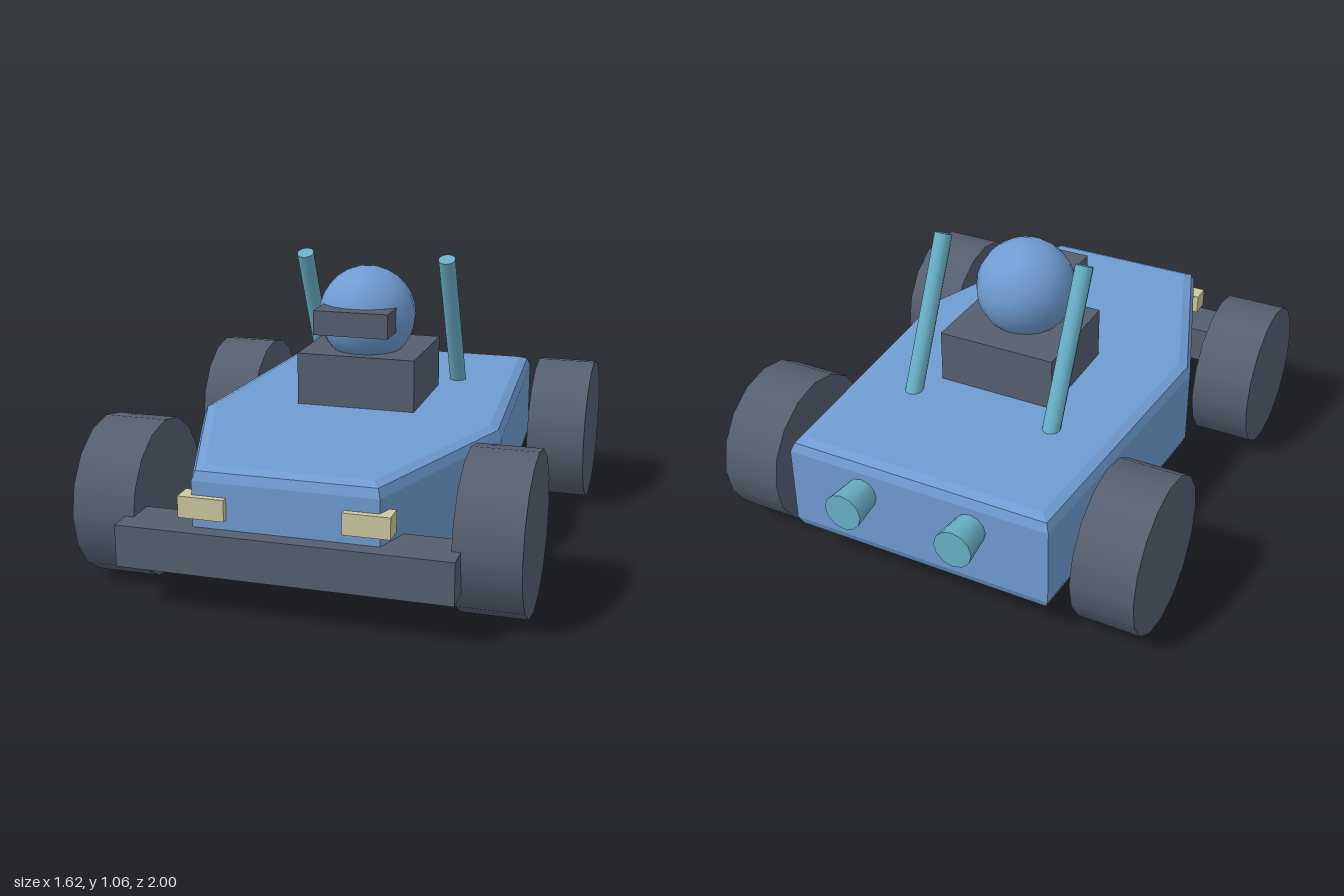
import * as THREE from 'three';

const material = (name, color) => {
  const m = new THREE.MeshStandardMaterial({ color });
  m.name = name;
  return m;
};

export function createModel() {
  const blue = material('body blue', 0x6f9cd2);
  const dark = material('dark grey', 0x565f70);
  const teal = material('pipe teal', 0x68b0c6);
  const cream = material('lamp cream', 0xcec8a0);

  const car = new THREE.Group();
  car.name = 'buggy';

  const add = (name, geometry, mat, x, y, z) => {
    const mesh = new THREE.Mesh(geometry, mat);
    mesh.name = name;
    mesh.position.set(x, y, z);
    car.add(mesh);
    return mesh;
  };

  // Box given by its lower and upper limits
  const box = (name, mat, [x0, x1], [y0, y1], [z0, z1]) =>
    add(name, new THREE.BoxGeometry(x1 - x0, y1 - y0, z1 - z0), mat,
      (x0 + x1) / 2, (y0 + y1) / 2, (z0 + z1) / 2);

  // Hull: six-sided plan, bevelled at top and bottom
  const outline = [
    [-0.505, -0.88], [0.505, -0.88], [0.575, 0.22],
    [0.32, 0.942], [-0.32, 0.942], [-0.575, 0.22],
  ].map(([x, z]) => new THREE.Vector2(x, z));
  const bevel = 0.045;
  const hull = new THREE.ExtrudeGeometry(new THREE.Shape(outline), {
    depth: 0.384 - 2 * bevel, bevelSize: bevel, bevelThickness: bevel,
    bevelOffset: -bevel, bevelSegments: 2,
  });
  hull.rotateX(Math.PI / 2);
  add('hull', hull, blue, 0, 0.51 - bevel, 0);

  // Bumper, seat block, driver's head and visor
  box('bumper', dark, [-0.576, 0.576], [0.157, 0.305], [0.81, 1]);
  box('seat', dark, [-0.227, 0.227], [0.45, 0.708], [-0.288, 0.13]);
  add('head', new THREE.SphereGeometry(0.186, 18, 14), blue, 0, 0.838, -0.04);
  box('visor', dark, [-0.142, 0.142], [0.798, 0.89], [0.05, 0.195]);

  // Parts that come in left and right pairs
  const tyre = new THREE.CylinderGeometry(0.283, 0.283, 0.227, 16).rotateZ(Math.PI / 2);
  const pipe = new THREE.CylinderGeometry(0.071, 0.052, 0.2, 12).rotateX(-Math.PI / 2);
  const poleFoot = new THREE.Vector3(0, 0.44, -0.433);
  const poleTip = new THREE.Vector3(0, 1.043, -0.147);
  const poleAxis = poleTip.clone().sub(poleFoot);
  const poleMid = poleFoot.clone().add(poleTip).divideScalar(2);
  const pole = new THREE.CylinderGeometry(0.033, 0.033, poleAxis.length(), 12)
    .rotateX(Math.atan2(poleAxis.z, poleAxis.y));

  for (const [side, s] of [['left', 1], ['right', -1]]) {
    add(`${side}FrontWheel`, tyre, dark, s * 0.659, 0.283, 0.637);
    add(`${side}RearWheel`, tyre, dark, s * 0.698, 0.283, -0.603);
    add(`${side}Pole`, pole, teal, s * 0.283, poleMid.y, poleMid.z);
    add(`${side}Exhaust`, pipe, teal, s * 0.214, 0.38, -0.9);
    add(`${side}Headlight`, new THREE.BoxGeometry(0.161, 0.075, 0.075), cream,
      s * 0.281, 0.379, 0.928);
  }
  return car;
}
